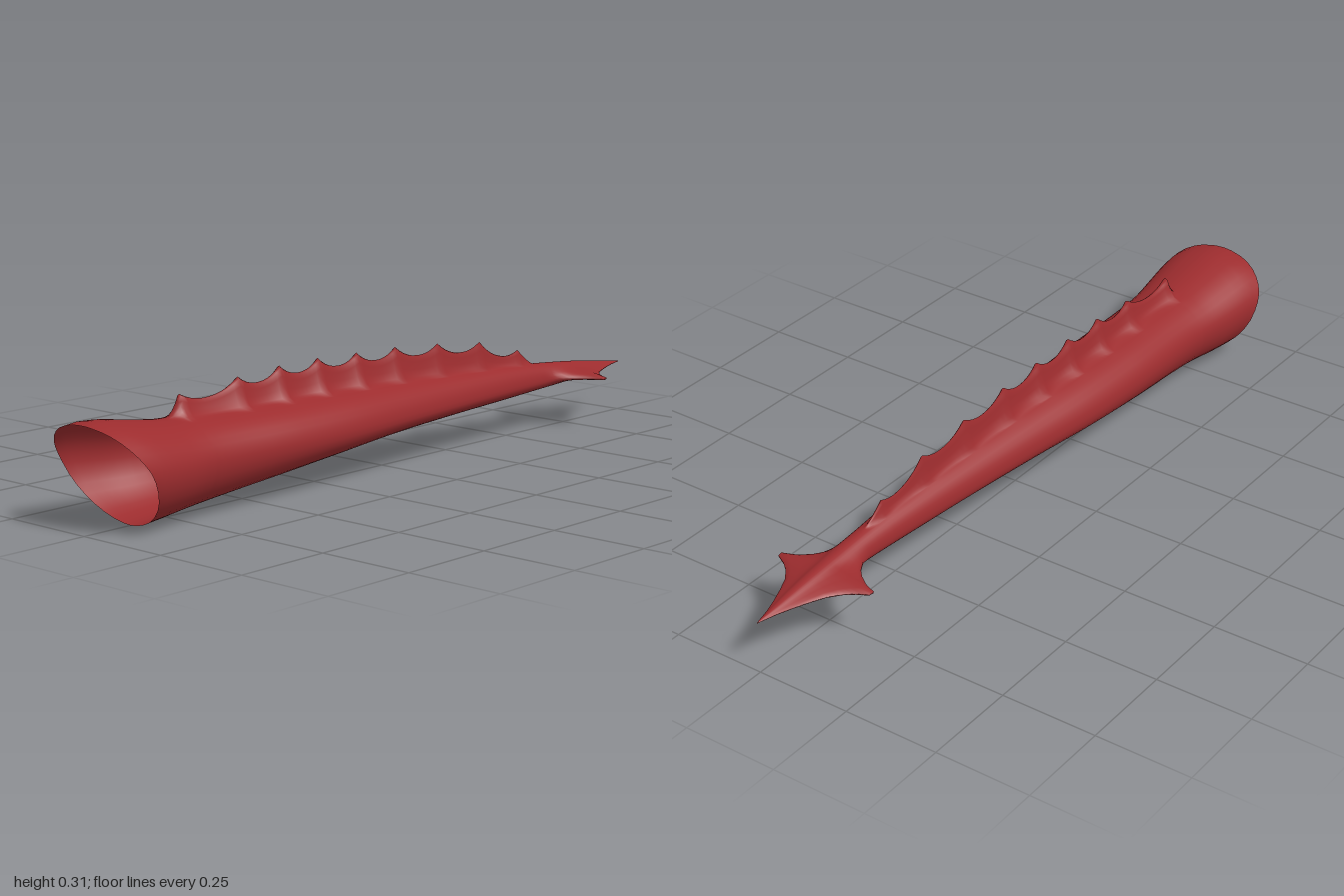
import * as THREE from 'three';

// Profiles along the tail as [z, value], from the open root to the tip
const TOP = [[1, .255], [.95, .26], [.85, .246], [.75, .233], [.6, .228], [.4, .225], [.2, .222], [0, .216],
  [-.2, .207], [-.4, .197], [-.6, .184], [-.8, .166], [-1, .14]];
const BOTTOM = [[.86, .002], [.7, .019], [.5, .038], [.25, .062], [0, .083], [-.25, .095], [-.5, .104], [-.8, .12], [-1, .138]];
const CENTRE = [[.93, .15], [.75, .137], [.4, .135], [0, .135], [-.5, .137], [-.8, .137], [-1, .139]];
const WIDTH = [[.93, .157], [.85, .147], [.68, .123], [.4, .12], [.2, .111], [0, .091], [-.2, .071], [-.4, .053],
  [-.6, .038], [-.75, .033], [-.88, .02], [-1, .001]];
// Outline of the spade at the tip
const SPADE = [[-.64, .037], [-.67, .042], [-.7, .06], [-.72, .08], [-.74, .11], [-.752, .142], [-.765, .14], [-.78, .112],
  [-.8, .087], [-.83, .063], [-.87, .044], [-.91, .028], [-.95, .014], [-1, .001]];
// Tips of the back spines
const SPINES = [[.7, .285], [.51, .3], [.37, .308], [.235, .309], [.095, .304], [-.05, .3], [-.215, .288], [-.385, .271], [-.545, .229]];

// Interpolates a profile, smoothly or in straight steps
function sample(p, z, smooth = true) {
  if (z >= p[0][0]) return p[0][1];
  const n = p.length - 1;
  if (z <= p[n][0]) return p[n][1];
  let i = 0;
  while (z < p[i + 1][0]) i++;
  const [z0, a] = p[i], [z1, b] = p[i + 1], d = z1 - z0, u = (z - z0) / d;
  if (!smooth) return a + (b - a) * u;
  const slope = (k) => {
    const l = p[Math.max(k - 1, 0)], r = p[Math.min(k + 1, n)];
    return (r[1] - l[1]) / (r[0] - l[0]) * d;
  };
  const u2 = u * u, u3 = u2 * u;
  return a * (2 * u3 - 3 * u2 + 1) + slope(i) * (u3 - 2 * u2 + u) + b * (3 * u2 - 2 * u3) + slope(i + 1) * (u3 - u2);
}

// Height of the scalloped crest above the back, and how close z is to a spine tip
function crest(z) {
  const top = sample(TOP, z), last = SPINES.length - 1;
  if (z > .745 || z < -.61) return { rise: 0, peak: 0 };
  if (z > SPINES[0][0]) {
    const u = (.745 - z) / .045;
    return { rise: u * u * (SPINES[0][1] - top), peak: u };
  }
  if (z < SPINES[last][0]) {
    const u = (z + .61) / .065;
    return { rise: u ** 1.4 * (SPINES[last][1] - top), peak: u };
  }
  let i = 0;
  while (i < last - 1 && z < SPINES[i + 1][0]) i++;
  const [z0, a] = SPINES[i], [z1, b] = SPINES[i + 1], u = (z - z0) / (z1 - z0);
  const peak = Math.abs(2 * u - 1) ** 2.2;
  return { rise: Math.max(0, a + (b - a) * u - .026 * (1 - peak) - top), peak };
}

// Stations along the tail, denser around the spines and the spade
function stations() {
  const zs = [.93, .9, .87, .84, .81, .78, .76, .745, .735, .725, .715, .707];
  for (let i = 0; i < SPINES.length - 1; i++) {
    for (let k = 0; k < 10; k++) zs.push(THREE.MathUtils.lerp(SPINES[i][0], SPINES[i + 1][0], k / 10));
  }
  zs.push(-.545, -.555, -.57, -.585, -.6, -.61, -.625);
  SPADE.forEach(([z], i) => {
    zs.push(z);
    if (i < SPADE.length - 1) zs.push((z + SPADE[i + 1][0]) / 2);
  });
  return zs;
}

// Half a cross-section from the belly up to the crest, on the +x side
function halfSection(zm) {
  const lean = .07 * THREE.MathUtils.smoothstep(zm, .7, .93);
  const w = sample(WIDTH, zm), c = sample(CENTRE, zm), fin = Math.max(w, zm <= -.64 ? sample(SPADE, zm, false) : 0);
  const up = sample(TOP, zm + lean) - c, down = c - sample(BOTTOM, zm - lean);
  const pts = [], steps = 15;
  for (let j = 0; j <= steps; j++) {
    const t = THREE.MathUtils.degToRad(-90 + 158 * j / steps);
    const cs = Math.max(0, Math.cos(t)), sn = Math.sin(t);
    const power = sn < 0 ? 1.1 : .95;
    const x = w * cs ** power + (fin - w) * cs ** 10;
    pts.push([x, c + (sn < 0 ? down : up) * sn, zm + lean * sn]);
  }
  // Crest blade, flaring into the back and thicker at each spine
  const { rise, peak } = crest(zm + lean);
  const scale = Math.min(1, w / .1), thick = .75 + .45 * peak;
  const blade = [[.038, .02], [.024, .12], [.015, .4], [.009, .72], [.005, .95], [0, 1]];
  for (const [bx, f] of blade) {
    const x = Math.min(bx * scale * thick, w * .36);
    const sn = Math.sqrt(1 - (x / w) ** 2);
    pts.push([x, c + up * sn + rise * f, zm + lean * sn]);
  }
  return pts;
}

// Joins mirrored half sections into one hollow shell, open at the root
function tailGeometry() {
  const pos = [], index = [], zs = stations();
  let n = 0;
  for (const z of zs) {
    const half = halfSection(z);
    const mirrored = half.slice(1, -1).reverse().map(([x, y, d]) => [-x, y, d]);
    const ring = [...half, ...mirrored];
    n = ring.length;
    ring.forEach((p) => pos.push(...p));
  }
  for (let i = 0; i < zs.length - 1; i++) {
    for (let j = 0; j < n; j++) {
      const a = i * n + j, b = i * n + (j + 1) % n;
      index.push(a, a + n, b, b, a + n, b + n);
    }
  }
  const g = new THREE.BufferGeometry();
  g.setAttribute('position', new THREE.Float32BufferAttribute(pos, 3));
  g.setIndex(index);
  g.computeVertexNormals();
  return g;
}

export function createModel() {
  const group = new THREE.Group();
  group.name = 'spinedTail';
  const red = new THREE.MeshStandardMaterial({ color: 0x9c2c2e, side: THREE.DoubleSide });
  red.name = 'dark red';
  const tail = new THREE.Mesh(tailGeometry(), red);
  tail.name = 'tail';
  group.add(tail);
  return group;
}
